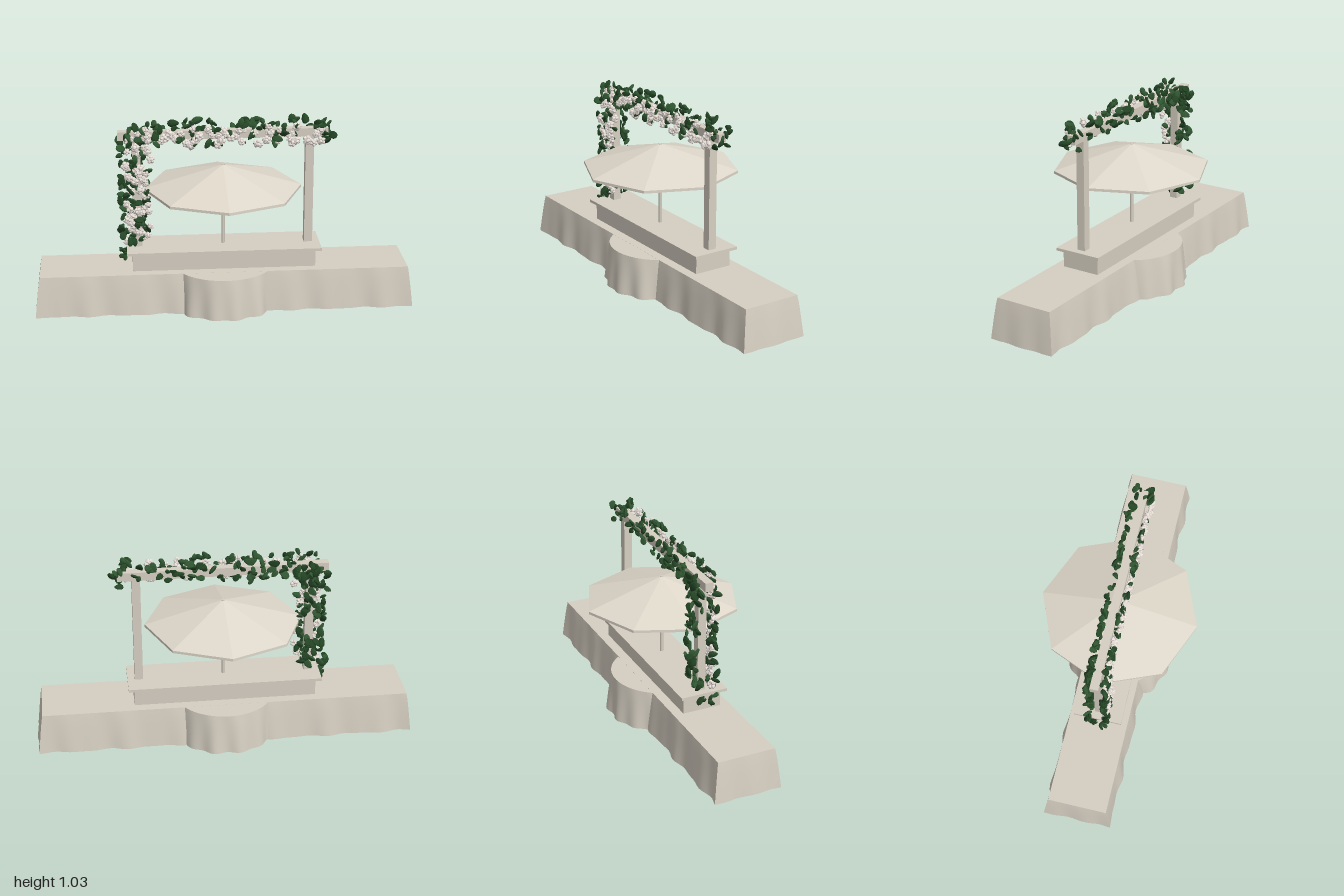
import * as THREE from 'three';
import { mergeGeometries, toCreasedNormals } from 'three/addons/utils/BufferGeometryUtils.js';

const mat = (name, color, extra = {}) => Object.assign(new THREE.MeshStandardMaterial({ color, ...extra }), { name });

// small seeded random generator
function seeded(seed) {
  return () => {
    seed = (seed * 1664525 + 1013904223) % 4294967296;
    return seed / 4294967296;
  };
}

// draped cloth: a flat top and a skirt that flares into folds towards the hem
function drape(outline, topY, hemY) {
  const rows = 6, n = outline.length, pos = [0, topY, 0], index = [];
  for (let r = 0; r <= rows; r++) {
    const k = r / rows;
    for (const p of outline) {
      const out = p.flare * Math.pow(k, 0.85);
      pos.push(p.x + p.nx * out, topY + (hemY - topY) * k, p.z + p.nz * out);
    }
  }
  for (let i = 0; i < n; i++) {
    const j = (i + 1) % n;
    index.push(0, 1 + j, 1 + i);
    for (let r = 0; r < rows; r++) {
      const a = 1 + r * n + i, b = 1 + r * n + j;
      index.push(a, b, a + n, b, b + n, a + n);
    }
  }
  const g = new THREE.BufferGeometry();
  g.setAttribute('position', new THREE.Float32BufferAttribute(pos, 3));
  g.setIndex(index);
  return toCreasedNormals(g, 0.75);
}

function rectOutline(hx, hz) {
  const pts = [], corners = [[hx, hz], [-hx, hz], [-hx, -hz], [hx, -hz]];
  corners.forEach(([x0, z0], s) => {
    const [x1, z1] = corners[(s + 1) % 4];
    const steps = s % 2 ? 12 : 72;
    for (let i = 0; i < steps; i++) {
      const t = i / steps, x = x0 + (x1 - x0) * t, z = z0 + (z1 - z0) * t;
      const fold = Math.sin(x * 24 + s) * 0.007 + Math.sin(x * 41 + z * 35 + 2 * s) * 0.004;
      pts.push({
        x, z, flare: i ? 0.024 + fold : 0.027,
        nx: i ? [0, -1, 0, 1][s] : Math.sign(x0),
        nz: i ? [1, 0, -1, 0][s] : Math.sign(z0),
      });
    }
  });
  return pts;
}

function roundOutline(radius) {
  const pts = [];
  for (let i = 0; i < 120; i++) {
    const a = i / 120 * Math.PI * 2, nx = Math.cos(a), nz = Math.sin(a);
    const flare = 0.021 + Math.sin(a * 14 + 1) * 0.008 + Math.sin(a * 9) * 0.004;
    pts.push({ x: nx * radius, z: nz * radius, nx, nz, flare });
  }
  return pts;
}

// pointed, slightly cupped leaf pad
function leafGeometry() {
  const g = new THREE.IcosahedronGeometry(1, 1);
  const p = g.attributes.position;
  for (let i = 0; i < p.count; i++) {
    const x = p.getX(i), y = p.getY(i), z = p.getZ(i);
    p.setXYZ(i, x * 0.7 * (1 - 0.25 * y), y * 1.1, z * 0.38 + 0.2 * x * x);
  }
  g.computeVertexNormals();
  return g;
}

// blossom: five petals round a raised heart
function blossomGeometry() {
  const parts = [new THREE.IcosahedronGeometry(0.6, 0).translate(0, 0, 0.3)];
  for (let i = 0; i < 5; i++) {
    const a = i / 5 * Math.PI * 2;
    parts.push(new THREE.IcosahedronGeometry(0.55, 0).rotateZ(a).translate(Math.cos(a) * 0.58, Math.sin(a) * 0.58, 0));
  }
  return mergeGeometries(parts);
}

export function createModel() {
  const model = new THREE.Group();
  const cloth = mat('cream cloth', 0xd6cfc2, { side: THREE.DoubleSide });
  const stone = mat('cream paint', 0xd6cfc2);
  const canopyMat = mat('canopy cream', 0xded7ca, { side: THREE.DoubleSide });
  const leafDark = mat('dark leaf green', 0x234424, { flatShading: true });
  const leafMid = mat('leaf green', 0x2f5530, { flatShading: true });
  const petal = mat('blossom white', 0xece3dc, { flatShading: true });

  const add = (name, geometry, material, x = 0, y = 0, z = 0) => {
    const m = new THREE.Mesh(geometry, material);
    m.name = name;
    m.position.set(x, y, z);
    model.add(m);
    return m;
  };
  const box = (name, w, h, d, x, y, z) => add(name, new THREE.BoxGeometry(w, h, d), stone, x, y, z);

  // table skirts
  add('longTablecloth', drape(rectOutline(0.966, 0.155), 0.226, 0.01), cloth);
  add('roundTablecloth', drape(roundOutline(0.27), 0.2255, 0.01), cloth);

  // pedestal and frame
  box('pedestal', 0.96, 0.32, 0.206, 0, 0.16, 0);
  box('pedestalTop', 1.02, 0.015, 0.254, 0, 0.3265, 0);
  for (const s of [-1, 1]) box(s > 0 ? 'leftPost' : 'rightPost', 0.044, 0.59, 0.044, s * 0.45, 0.627, 0);
  box('crossBeam', 1.09, 0.045, 0.044, 0, 0.938, 0);

  // eight-sided parasol, hollow underneath
  const canopy = new THREE.CylinderGeometry(0.002, 0.41, 0.12, 8, 1, true).translate(0, 0.709, 0);
  const rim = new THREE.CylinderGeometry(0.41, 0.41, 0.014, 8, 1, true).translate(0, 0.642, 0);
  add('parasolCanopy', toCreasedNormals(mergeGeometries([canopy, rim]), 0.1), canopyMat);
  add('parasolPole', new THREE.CylinderGeometry(0.009, 0.009, 0.436, 12), stone, 0, 0.552, 0);

  // climbing garland along the right post and the beam
  const rnd = seeded(17);
  const span = (a, b) => a + (b - a) * rnd();
  const leaf = leafGeometry(), blossom = blossomGeometry();
  const bins = { leavesDark: [], leavesMid: [], blossoms: [] };
  const dummy = new THREE.Object3D();
  const place = (bin, base, size, x, y, z, tilt) => {
    dummy.position.set(x, y, z);
    dummy.rotation.set(span(-tilt, tilt), (z < 0 ? Math.PI : 0) + span(-tilt, tilt), span(0, 6.28));
    dummy.scale.setScalar(size);
    dummy.updateMatrix();
    bins[bin].push(base.clone().applyMatrix4(dummy.matrix));
  };
  const addLeaf = (x, y, z) => place(rnd() < 0.5 ? 'leavesDark' : 'leavesMid', leaf, span(0.017, 0.029), x, y, z, 0.9);
  const addBlossom = (x, y, z) => place('blossoms', blossom, span(0.017, 0.025), x, y, z, 0.5);

  for (const side of [-1, 1]) {
    for (let i = 0; i < 58; i++) {
      addLeaf(-0.46 + span(-0.08, 0.07), span(0.355, 0.95), side * span(0.032, 0.052));
    }
    for (let i = 0; i < 66; i++) {
      const t = Math.pow(rnd(), 1.25);
      addLeaf(-0.5 + 1.04 * t, span(0.89, 1.005), side * span(0.032, 0.05));
    }
  }
  for (let i = 0; i < 46; i++) addBlossom(-0.455 + span(-0.065, 0.08), span(0.36, 0.95), span(0.038, 0.052));
  for (let i = 0; i < 56; i++) addBlossom(span(-0.46, 0.53), span(0.885, 0.985), span(0.038, 0.052));

  // trailing ends
  for (let i = 0; i < 7; i++) addLeaf(span(-0.54, -0.5), span(0.27, 0.35), span(-0.05, 0.05));
  for (let i = 0; i < 6; i++) addLeaf(span(0.5, 0.58), span(0.88, 0.98), span(-0.04, 0.04));

  add('darkLeaves', mergeGeometries(bins.leavesDark), leafDark);
  add('leaves', mergeGeometries(bins.leavesMid), leafMid);
  add('blossoms', mergeGeometries(bins.blossoms), petal);
  return model;
}
